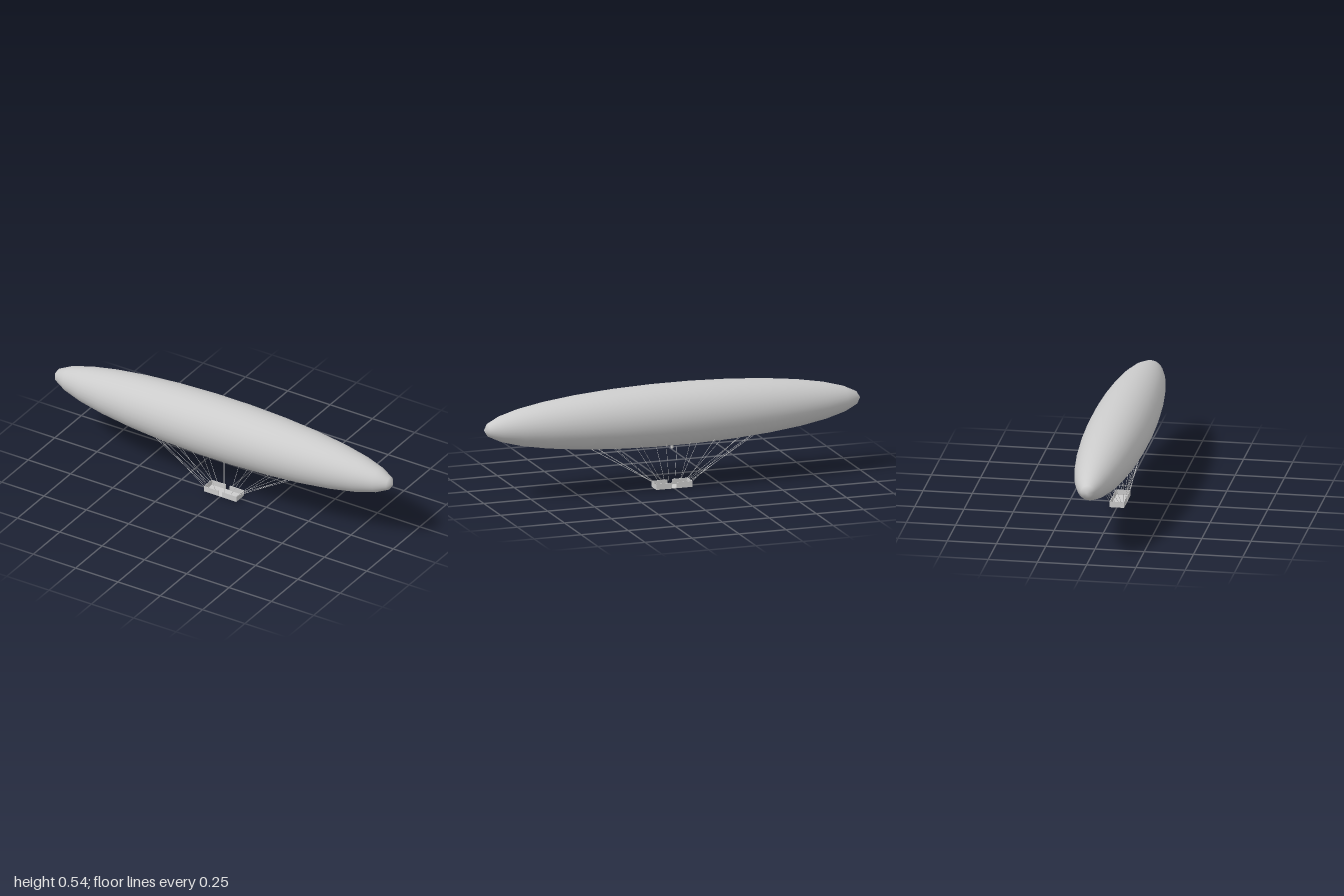
import * as THREE from 'three';

const CENTRE_Y = 0.377, RADIUS = 0.159;

export function createModel() {
  const model = new THREE.Group();
  const grey = new THREE.MeshStandardMaterial({ color: 0xcccccc });
  const greyDouble = new THREE.MeshStandardMaterial({ color: 0xcccccc, side: THREE.DoubleSide });

  const add = (parent, name, geometry, x = 0, y = 0, z = 0, material = grey) => {
    const mesh = new THREE.Mesh(geometry, material);
    mesh.name = name;
    mesh.position.set(x, y, z);
    parent.add(mesh);
    return mesh;
  };

  // Long smooth gas envelope with its poles at bow and stern
  const hull = new THREE.SphereGeometry(1, 32, 15);
  hull.rotateZ(-Math.PI / 2);
  hull.scale(1, RADIUS, RADIUS);
  add(model, 'envelope', hull, 0, CENTRE_Y, 0);

  // Open filling tube under the envelope
  add(model, 'fillingTube', new THREE.CylinderGeometry(0.008, 0.008, 0.036, 16, 1, true), 0, 0.218, 0, greyDouble);

  // Open basket with a doorway in the middle of each long side
  const basket = new THREE.Group();
  basket.name = 'basket';
  model.add(basket);
  const halfL = 0.096, halfW = 0.037, height = 0.03, wall = 0.003, door = 0.012;
  add(basket, 'basketFloor', new THREE.BoxGeometry(2 * halfL, wall, 2 * halfW), 0, wall / 2, 0);
  for (const s of [-1, 1]) {
    add(basket, 'basketEnd', new THREE.BoxGeometry(wall, height, 2 * halfW), s * (halfL - wall / 2), height / 2, 0);
    for (const t of [-1, 1]) {
      add(basket, 'basketSide', new THREE.BoxGeometry(halfL - door, height, wall),
        s * (halfL + door) / 2, height / 2, t * (halfW - wall / 2));
    }
  }

  // Ropes fan out from the basket rim to the envelope: [rim x, rim z, top x, top z]
  const ropes = [
    [0.028, 0.036, 0.065, 0.095],
    [0.062, 0.036, 0.195, 0.09],
    [0.094, 0.036, 0.33, 0.07],
    [0.095, 0.022, 0.41, 0.037],
    [0.095, 0.009, 0.44, 0.012],
  ];
  const rigging = new THREE.Group();
  rigging.name = 'rigging';
  model.add(rigging);
  const up = new THREE.Vector3(0, 1, 0);
  for (const [x0, z0, x1, z1] of ropes) {
    const y1 = CENTRE_Y - Math.sqrt(RADIUS ** 2 * (1 - x1 * x1) - z1 * z1) + 0.003;
    for (const sx of [-1, 1]) for (const sz of [-1, 1]) {
      const a = new THREE.Vector3(sx * x0, height - 0.002, sz * z0);
      const b = new THREE.Vector3(sx * x1, y1, sz * z1);
      const mid = a.clone().add(b).multiplyScalar(0.5);
      const rope = add(rigging, 'rope', new THREE.CylinderGeometry(0.0009, 0.0009, a.distanceTo(b), 6), mid.x, mid.y, mid.z);
      rope.quaternion.setFromUnitVectors(up, b.sub(a).normalize());
    }
  }

  return model;
}
